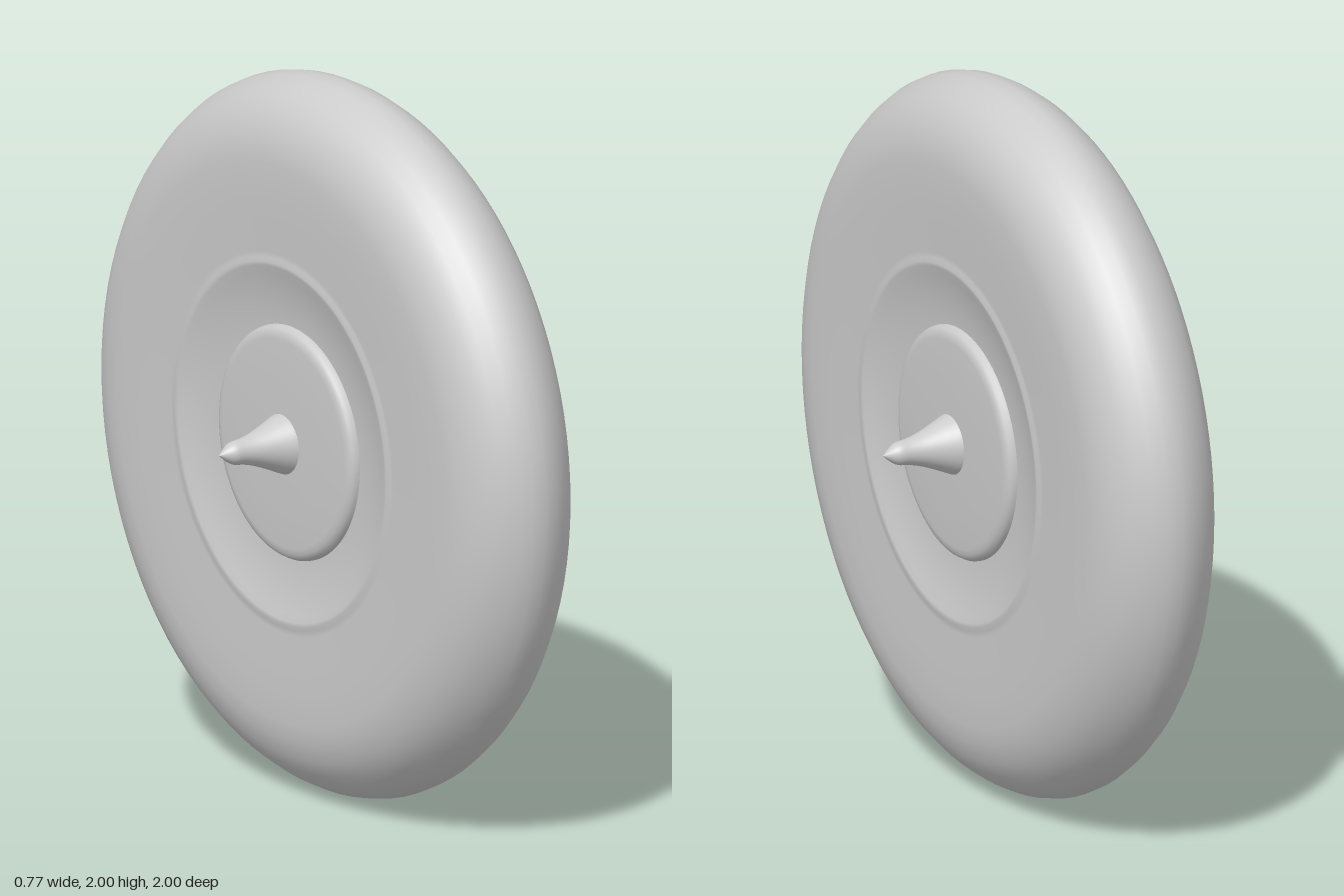
import * as THREE from 'three';

const material = new THREE.MeshStandardMaterial({ color: 0xcccccc });

// Revolves a half profile of [radius, x] points, mirrored in x, about the axle.
function revolve(name, half, smooth) {
  let pts = half.map(([r, x]) => new THREE.Vector2(r, x));
  if (smooth) {
    pts = new THREE.SplineCurve(pts).getPoints(half.length * 4);
    pts.forEach((p) => { p.x = Math.max(p.x, 0); });
  }
  const mirrored = pts.map((p) => new THREE.Vector2(p.x, -p.y));
  const skip = pts[pts.length - 1].y === 0 ? 1 : 0; // share the middle point
  const profile = [...mirrored, ...pts.slice().reverse().slice(skip)];
  const mesh = new THREE.Mesh(new THREE.LatheGeometry(profile, 96), material);
  mesh.name = name;
  mesh.rotation.z = -Math.PI / 2;
  return mesh;
}

export function createModel() {
  const wheel = new THREE.Group();
  wheel.name = 'wheel';

  // Tyre: rounded tread, flat sidewalls, a fine bead and a shallow dish
  const tyre = revolve('tyre', [
    [0.29, 0.145], [0.33, 0.147], [0.38, 0.153], [0.43, 0.163], [0.47, 0.174],
    [0.492, 0.181], [0.503, 0.183], [0.515, 0.178], [0.53, 0.178], [0.62, 0.181],
    [0.7, 0.183], [0.78, 0.182], [0.83, 0.176], [0.88, 0.16], [0.92, 0.136],
    [0.95, 0.108], [0.975, 0.074], [0.993, 0.038], [1, 0],
  ]);

  // Hub disc with a softly rounded rim
  const hub = revolve('hub', [
    [0, 0.18], [0.08, 0.18], [0.2, 0.178], [0.29, 0.175], [0.307, 0.172],
    [0.319, 0.165], [0.325, 0.154], [0.326, 0.14],
  ]);

  // Axle: flared at the hub, waisted, then pointed at each end
  const axle = revolve('axle', [
    [0, 0.385], [0.017, 0.366], [0.031, 0.343], [0.036, 0.31], [0.045, 0.275],
    [0.06, 0.235], [0.075, 0.2], [0.084, 0.178], [0.086, 0.165],
  ], true);

  wheel.add(tyre, hub, axle);
  wheel.position.y = 1;

  const model = new THREE.Group();
  model.add(wheel);
  return model;
}
